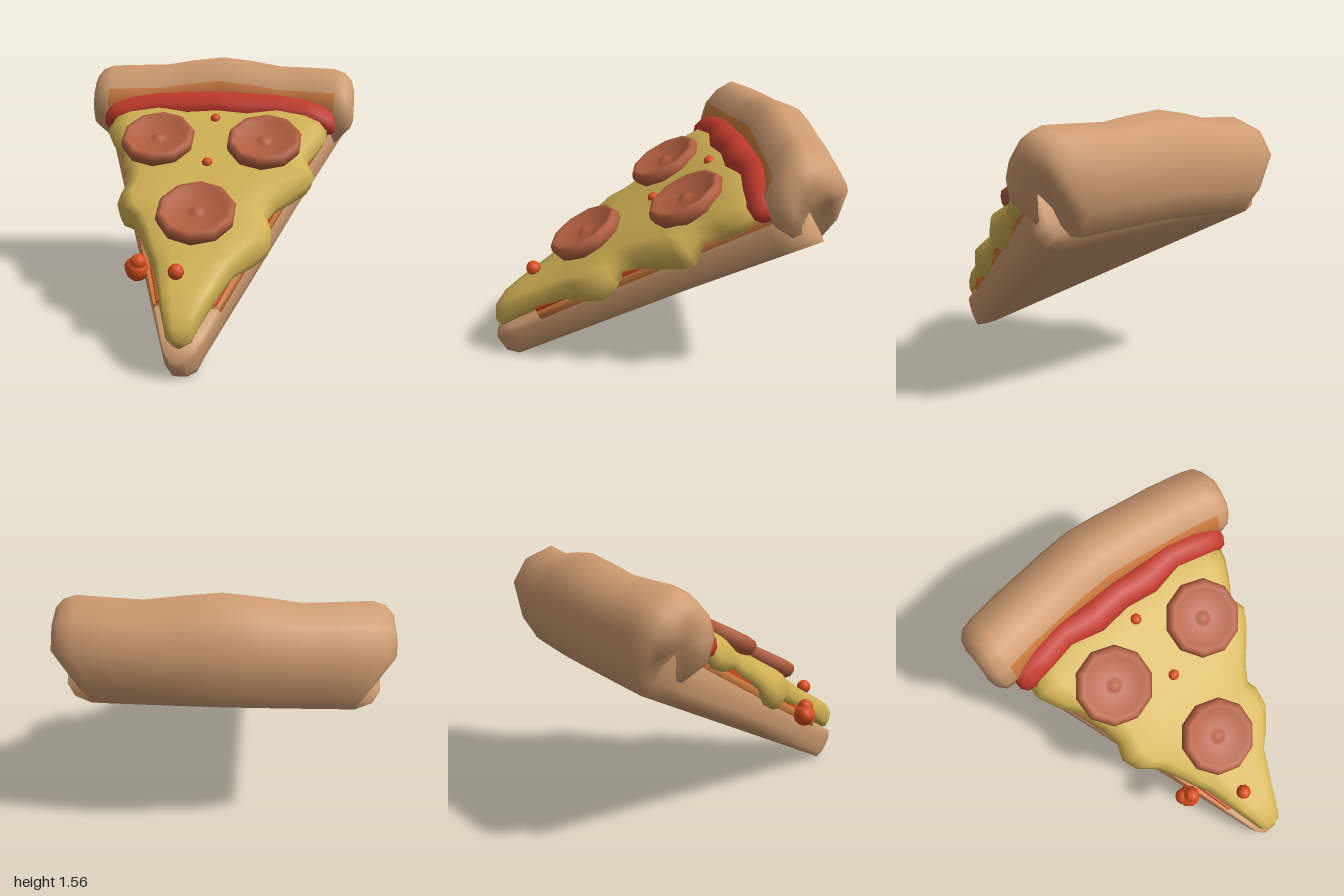
import * as THREE from 'three';

const mat = (name, color) => {
  const m = new THREE.MeshStandardMaterial({ color });
  m.name = name;
  return m;
};

// Skin over closed rings of points, capped at both ends. paint(i, j) picks the second material.
function loft(rings, paint = () => false) {
  const n = rings[0].length, pos = [], main = [], second = [];
  rings.forEach(r => r.forEach(p => pos.push(...p)));
  for (let i = 0; i < rings.length - 1; i++) {
    for (let j = 0; j < n; j++) {
      const a = i * n + j, b = i * n + (j + 1) % n, c = b + n, d = a + n;
      (paint(i, j) ? second : main).push(a, b, c, a, c, d);
    }
  }
  [0, rings.length - 1].forEach((r, end) => {
    const centre = pos.length / 3, ring = rings[r];
    pos.push(...[0, 1, 2].map(k => ring.reduce((s, p) => s + p[k], 0) / n));
    for (let j = 0; j < n; j++) {
      const a = r * n + j, b = r * n + (j + 1) % n;
      main.push(centre, ...(end ? [a, b] : [b, a]));
    }
  });
  const g = new THREE.BufferGeometry();
  g.setAttribute('position', new THREE.Float32BufferAttribute(pos, 3));
  g.setIndex([...main, ...second]);
  g.addGroup(0, main.length, 0);
  if (second.length) g.addGroup(main.length, second.length, 1);
  g.computeVertexNormals();
  return g;
}

export function createModel() {
  const dough = mat('dough', 0xd09d72);
  const toast = mat('toastedDough', 0xcf7c40);
  const sauce = mat('sauce', 0xc23a2d);
  const spice = mat('orangeSauce', 0xd64e1e);
  const cheese = mat('cheese', 0xd2b255);
  const meat = mat('sausage', 0xb25f40);

  const model = new THREE.Group();
  model.name = 'pizzaSlice';
  // Tilted frame: x across, y out of the slice, -z from the tip to the crust
  const slice = new THREE.Group();
  slice.name = 'tiltedSlice';
  slice.rotation.x = 0.503;
  slice.position.z = 0.9;
  model.add(slice);
  const add = (name, geometry, material, x = 0, n = 0, u = 0) => {
    const m = new THREE.Mesh(geometry, material);
    m.name = name;
    m.position.set(x, n, -u);
    slice.add(m);
  };

  // Dough wedge and the two thin layers on it
  const width = u => 0.085 + 0.375 * u;
  const height = u => 0.2 + 0.05 * u;
  const lengths = [0.03, 0.1, 0.3, 0.6, 0.9, 1.2, 1.5, 1.75, 1.98];
  const base = lengths.map(u => {
    const w = width(u), h = height(u);
    return [[0, h], [w * 0.9, h], [w * 0.99, h - 0.04], [w, 0.1], [w * 0.95, 0.035], [w * 0.84, 0], [0, -0.005],
      [-w * 0.84, 0], [-w * 0.95, 0.035], [-w, 0.1], [-w * 0.99, h - 0.04], [-w * 0.9, h]].map(([x, n]) => [x, n, -u]);
  });
  const nose = base[0].map(([x, n]) => [x * 0.5, 0.1 + (n - 0.1) * 0.6, 0.035]);
  add('doughBase', loft([nose, ...base]), dough);

  const layer = (name, material, from, inset, lift) => add(name, loft(lengths.slice(from).map(u => {
    const w = width(u) * inset(u), h = height(u);
    return [[0, h + lift], [w * 0.96, h + lift], [w, h + lift - 0.02], [w, h - 0.06], [-w, h - 0.06],
      [-w, h + lift - 0.02], [-w * 0.96, h + lift]].map(([x, n]) => [x, n, -u]);
  })), material);
  layer('toastedLayer', toast, 2, () => 0.97, 0.02);
  layer('sauceLayer', spice, 2, u => (u < 0.8 ? 0.86 : 0.94), 0.05);

  // Melted cheese: distance from tip, right reach, left reach, top height
  const cheeseRows = [
    [0.025, 0.035, 0.035, 0.27], [0.06, 0.075, 0.075, 0.325], [0.15, 0.105, 0.105, 0.365], [0.27, 0.145, 0.15, 0.375],
    [0.5, 0.22, 0.25, 0.38], [0.61, 0.28, 0.35, 0.39], [0.73, 0.34, 0.43, 0.4], [0.84, 0.41, 0.43, 0.41],
    [0.91, 0.5, 0.4, 0.415], [1.01, 0.54, 0.45, 0.425], [1.12, 0.51, 0.54, 0.43], [1.24, 0.53, 0.63, 0.435],
    [1.31, 0.56, 0.66, 0.44], [1.41, 0.58, 0.61, 0.445], [1.52, 0.67, 0.67, 0.455], [1.64, 0.73, 0.72, 0.46],
    [1.82, 0.73, 0.73, 0.46],
  ];
  add('meltedCheese', loft(cheeseRows.map(([u, r, l, top]) => {
    // Wider lobes hang lower over the edge
    const low = reach => height(u) - 0.005 - Math.max(-0.03, Math.min(0.08, (reach - width(u)) * 0.7));
    const half = (reach, s) => {
      const b = low(reach), e = top - 0.03;
      return [[0.45, top], [0.8, top - 0.008], [0.93, e - 0.01], [1, b + (e - b) * 0.5], [0.97, b + 0.02], [0.88, b]]
        .map(([f, n]) => [s * f * reach, n, -u]);
    };
    return [[0, top, -u], ...half(l, 1), [0, height(u), -u], ...half(r, -1).reverse()];
  })), cheese);

  // Puffy crust: profile runs from the bottom over the back and top to the front
  const profile = [[2.08, 0], [2.21, 0.085], [2.32, 0.27], [2.31, 0.45], [2.2, 0.585], [2.1, 0.585], [1.985, 0.54],
    [1.9, 0.45], [1.87, 0.3], [1.93, 0.15], [2.0, 0.02]];
  const mirrored = rows => [...rows.slice(1).reverse().map(([x, ...r]) => [-x, ...r]), ...rows];
  // Station: x, shift along the slice, height scale, size
  const stations = mirrored([[0, 0, 1, 1], [0.2, -0.015, 0.97, 1], [0.4, -0.04, 0.93, 1], [0.58, -0.06, 0.945, 1],
    [0.76, -0.09, 0.965, 1], [0.83, -0.1, 0.95, 0.95], [0.875, -0.1, 0.95, 0.75], [0.893, -0.1, 0.95, 0.45]]);
  // The underside narrows to meet the wedge
  const narrow = n => 1 - 0.15 * Math.max(0, 1 - n / 0.25);
  const crustRings = stations.map(([x, du, tall, s]) => profile.map(([u, n]) =>
    [x * narrow(n), 0.32 + (n * tall - 0.32) * s, -(2.09 + du + (u - 2.09) * s)]));
  const toasted = (i, j) => j === 6 && i >= 3 && i < stations.length - 4;
  add('crust', loft(crustRings, toasted), [dough, toast]);

  // Band of red sauce against the crust: x, distance, height, size
  const band = mirrored([[0, 1.86, 0.425, 1], [0.2, 1.84, 0.42, 1.08], [0.4, 1.86, 0.41, 0.95],
    [0.58, 1.82, 0.395, 1.02], [0.7, 1.8, 0.375, 0.95], [0.75, 1.79, 0.36, 0.8], [0.775, 1.78, 0.35, 0.4]]);
  const bandRings = band.map(([x, u, n, s]) => Array.from({ length: 10 }, (_, k) => {
    const a = k * Math.PI / 5;
    return [x, n + 0.092 * s * Math.cos(a), -u + 0.105 * s * Math.sin(a)];
  }));
  add('sauceBand', loft(bandRings), sauce);

  // Sausage discs with a raised rim and a small centre knob
  const disc = new THREE.LatheGeometry([[0.2, -0.04], [0.232, -0.01], [0.24, 0.03], [0.225, 0.062], [0.2, 0.068],
    [0.175, 0.05], [0.06, 0.02], [0.035, 0.042], [0, 0.046]].map(p => new THREE.Vector2(...p)), 10);
  [[0, 0.44, 0.8], [0.34, 0.448, 1.445], [-0.34, 0.448, 1.445]].forEach(p => add('sausageDisc', disc, meat, ...p));

  // Sauce droplets: radius, x, height, distance
  [[0.046, -0.055, 0.405, 0.39], [0.035, 0, 0.432, 1.27], [0.035, 0, 0.455, 1.68],
    [0.07, -0.325, 0.235, 0.54], [0.052, -0.355, 0.235, 0.56], [0.05, -0.315, 0.285, 0.55]]
    .forEach(([r, ...p]) => add('sauceDrop', new THREE.SphereGeometry(r, 10, 8), spice, ...p));

  return model;
}
